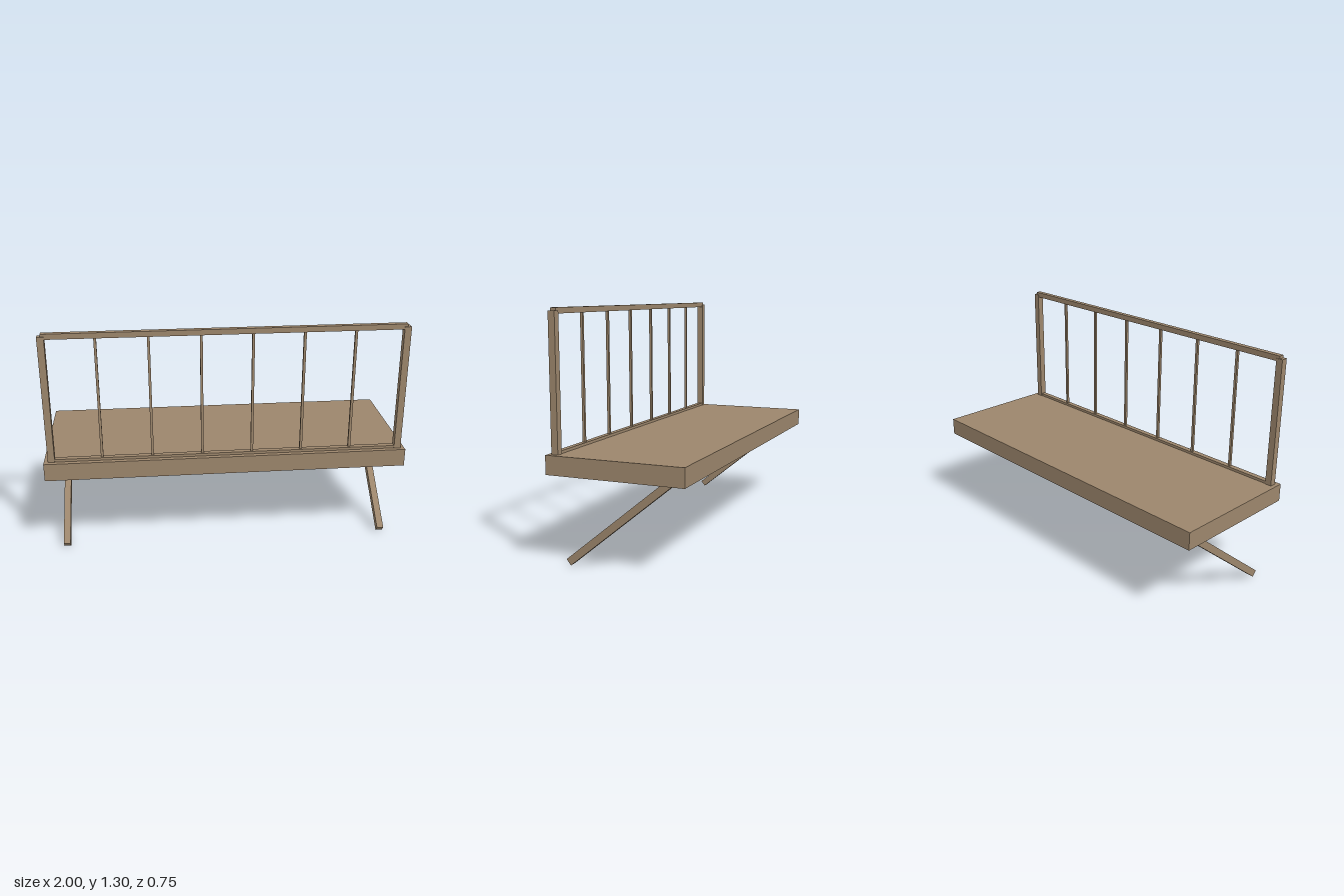
import * as THREE from 'three';

const wood = new THREE.MeshStandardMaterial({ color: 0x9c866c, flatShading: true });

export function createModel() {
  const model = new THREE.Group();
  model.name = 'railedBench';

  const addBox = (name, size, position) => {
    const mesh = new THREE.Mesh(new THREE.BoxGeometry(...size), wood);
    mesh.name = name;
    mesh.position.set(...position);
    model.add(mesh);
    return mesh;
  };

  // Thick platform
  addBox('seat', [2, 0.1, 0.75], [0, 0.525, 0]);

  // Railing frame
  const railZ = 0.334, postX = 0.959;
  addBox('topRail', [2 * postX, 0.03, 0.03], [0, 1.283, railZ]);
  addBox('bottomRail', [2 * postX, 0.03, 0.03], [0, 0.575, railZ]);

  // Evenly spaced spindles between the posts
  const bays = 7;
  for (let i = 1; i < bays; i++) {
    const x = -postX + (2 * postX * i) / bays;
    addBox('spindle', [0.014, 0.7, 0.014], [x, 0.93, railZ]);
  }

  // Slanted legs run from the floor at the front up into the seat near the back
  const foot = new THREE.Vector3(0, 0.0155, 0.292);
  const slope = new THREE.Vector3(0, 0.475, -0.58).normalize();
  const legLength = 0.8;
  for (const side of [-1, 1]) {
    addBox('post', [0.037, 0.71, 0.037], [side * postX, 0.928, railZ]);
    const centre = foot.clone().addScaledVector(slope, legLength / 2);
    const leg = addBox('leg', [0.038, legLength, 0.039], [side * 0.919, centre.y, centre.z]);
    leg.rotation.x = Math.atan2(slope.z, slope.y);
  }

  return model;
}
